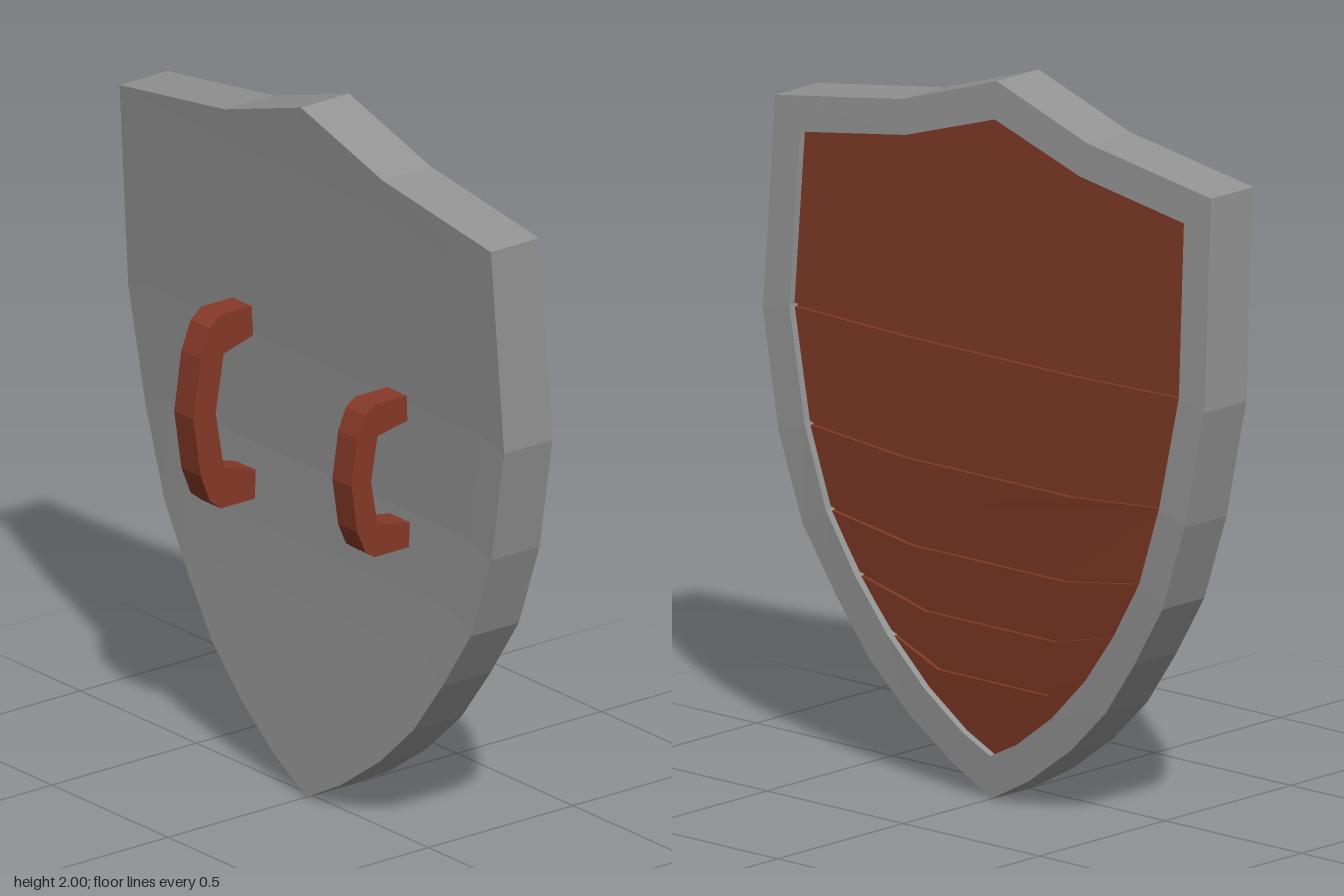
import * as THREE from 'three';

// Half outlines as [z, y], from the top peak down to the bottom tip
const OUTER = [[0, 2], [0.34, 1.89], [0.8, 1.82], [0.81, 1.23], [0.745, 0.9], [0.66, 0.655],
  [0.55, 0.48], [0.435, 0.32], [0.3, 0.19], [0.14, 0.075], [0, 0]];
const INNER = [[0, 1.895], [0.32, 1.795], [0.705, 1.735], [0.715, 1.255], [0.65, 0.935], [0.575, 0.71],
  [0.475, 0.545], [0.365, 0.4], [0.235, 0.27], [0.1, 0.17], [0, 0.12]];
// Plank seams: [end z, end y, middle z, middle y]
const SEAMS = [[0.715, 1.252, 0.3, 1.242], [0.65, 0.935, 0.31, 0.906], [0.575, 0.71, 0.28, 0.664],
  [0.475, 0.545, 0.24, 0.486], [0.365, 0.4, 0.2, 0.328]];
// Curve of the shield's back, as [y, x]
const CURVE = [[0, -0.02], [0.32, 0], [0.65, 0.017], [0.9, 0.021], [1.23, 0.013], [1.82, -0.025], [2, -0.04]];

const THICK = 0.167, RECESS = 0.021, GROOVE = 0.012, GAP = 0.005;

function bend(y) {
  let i = 1;
  while (i < CURVE.length - 1 && y > CURVE[i][0]) i++;
  const [y0, x0] = CURVE[i - 1], [y1, x1] = CURVE[i];
  return x0 + (x1 - x0) * (y - y0) / (y1 - y0);
}

const material = color => new THREE.MeshStandardMaterial({ color, flatShading: true });

const vectors = pts => pts.map(([a, b]) => new THREE.Vector2(a, b));

// Full loop from a half outline whose ends lie on the centre line
const mirrorLoop = half => [...half, ...half.slice(1, -1).reverse().map(([z, y]) => [-z, y])];

// Faceted geometry from indexed corners
function faceted(pos, idx) {
  const indexed = new THREE.BufferGeometry();
  indexed.setAttribute('position', new THREE.Float32BufferAttribute(pos, 3));
  indexed.setIndex(idx);
  const geo = indexed.toNonIndexed();
  geo.computeVertexNormals();
  return geo;
}

// Rim: a four-cornered section carried round the outline
function rimGeometry() {
  const outer = mirrorLoop(OUTER), inner = mirrorLoop(INNER), pos = [], idx = [];
  outer.forEach(([oz, oy], i) => {
    const [iz, iy] = inner[i], ox = bend(oy), ix = bend(iy);
    pos.push(ox, oy, oz, ox + THICK, oy, oz, ix + THICK, iy, iz, ix, iy, iz);
    const here = 4 * i, next = 4 * ((i + 1) % outer.length);
    for (let k = 0; k < 4; k++) {
      const m = (k + 1) % 4;
      idx.push(here + m, here + k, next + k, here + m, next + k, next + m);
    }
  });
  return faceted(pos, idx);
}

// Curved sheet filling the rim, built in rows
function sheet(offset, faceBack) {
  const pos = [], idx = [];
  INNER.forEach(([z, y], i) => {
    const x = bend(y) + offset;
    pos.push(x, y, -z, x, y, z);
    if (!i) return;
    const a = 2 * i - 2, b = a + 1, d = a + 2, c = a + 3;
    // The first and last rows narrow to a single point
    const tris = [];
    if (i > 1) tris.push([a, b, c]);
    if (i < INNER.length - 1) tris.push([a, c, d]);
    for (const [p, q, r] of tris) idx.push(...(faceBack ? [p, r, q] : [p, q, r]));
  });
  return faceted(pos, idx);
}

// Plank: flat outline extruded, turned to face +x and bent along the curve
function plankGeometry(points) {
  const depth = 0.03;
  const geo = new THREE.ExtrudeGeometry(new THREE.Shape(vectors(points)), { depth, bevelEnabled: false });
  geo.rotateY(Math.PI / 2);
  const p = geo.attributes.position;
  for (let i = 0; i < p.count; i++) p.setX(i, p.getX(i) + THICK - RECESS - depth + bend(p.getY(i)));
  geo.computeVertexNormals();
  return geo;
}

// Seam polyline from -z to +z, shifted in y
const seamLine = ([ez, ey, mz, my], dy) =>
  [[-ez, ey + dy], [-mz, my + dy], [mz, my + dy], [ez, ey + dy]];

// Grip outline, symmetric about its middle height
function gripShape(midY, upperHalfOuter, upperHalfInner) {
  const whole = half => [...half, ...half.slice(0, -1).reverse().map(([x, dy]) => [x, -dy])];
  const loop = [...whole(upperHalfOuter), ...whole(upperHalfInner).reverse()];
  return new THREE.Shape(vectors(loop.map(([x, dy]) => [x, midY + dy])));
}

export function createModel() {
  const model = new THREE.Group();
  const steel = material(0x949494), wood = material(0x7d3825), leather = material(0x863929);
  const add = (name, geo, mat) => {
    const mesh = new THREE.Mesh(geo, mat);
    mesh.name = name;
    model.add(mesh);
  };

  // Rim, back plate and the board at the bottom of the grooves
  add('rim', rimGeometry(), steel);
  add('backPlate', sheet(0, true), steel);
  add('grooveFloor', sheet(THICK - RECESS - GROOVE, false), wood);

  // Planks between the seams
  const topEdge = [...INNER.slice(1, 3).reverse().map(([z, y]) => [-z, y]), ...INNER.slice(0, 3)];
  const tip = INNER.slice(8);
  const tipEdge = [...tip.map(([z, y]) => [-z, y]), ...tip.slice(0, -1).reverse()];
  for (let i = 0; i <= SEAMS.length; i++) {
    const top = i ? seamLine(SEAMS[i - 1], -GAP) : topEdge;
    const bottom = i < SEAMS.length ? seamLine(SEAMS[i], GAP) : tipEdge;
    add('plank' + (i + 1), plankGeometry([...top, ...bottom.reverse()]), wood);
  }

  // Grips on the back: a large one and a smaller one
  const grips = [
    ['largeGrip', -0.353,
      [[0.03, 0.28], [-0.1, 0.28], [-0.138, 0.25], [-0.17, 0.17], [-0.195, 0]],
      [[0.03, 0.2], [-0.09, 0.165], [-0.118, 0]]],
    ['smallGrip', 0.31,
      [[0.03, 0.22], [-0.1, 0.22], [-0.133, 0.197], [-0.16, 0.135], [-0.18, 0]],
      [[0.03, 0.15], [-0.09, 0.128], [-0.113, 0]]],
  ];
  for (const [name, z, outer, inner] of grips) {
    const geo = new THREE.ExtrudeGeometry(gripShape(1.053, outer, inner), { depth: 0.083, bevelEnabled: false });
    geo.translate(0, 0, z);
    add(name, geo, leather);
  }
  return model;
}
